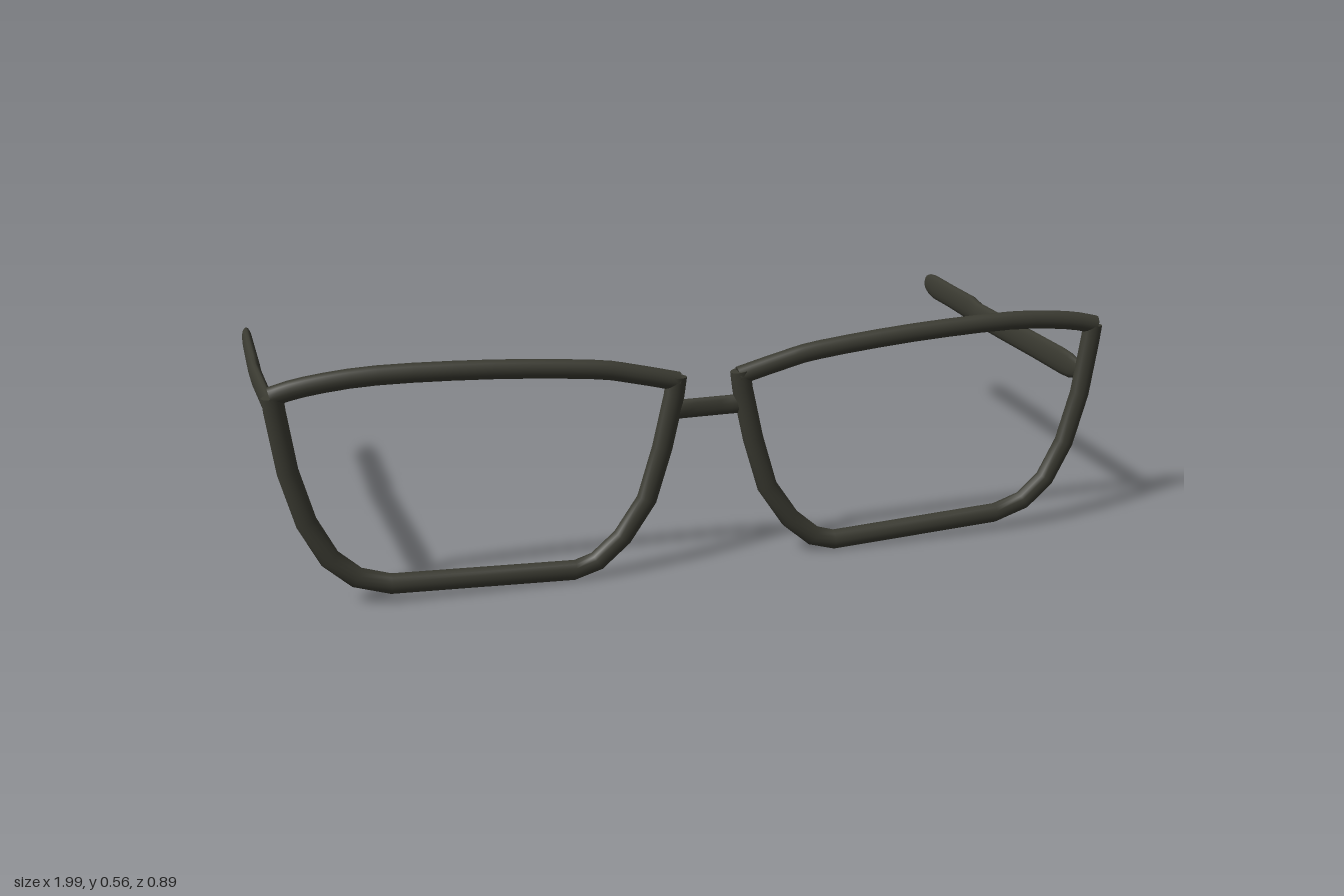
import * as THREE from 'three';

const SIDES = 14;

// Capped tube through oval rings; every ring has a centre c and half axes u, v (u x v points along the tube)
function loft(rings) {
  const pos = [], idx = [];
  const put = (p) => pos.push(p.x, p.y, p.z) / 3 - 1;
  const ringPoints = ({ c, u, v }) => Array.from({ length: SIDES }, (_, j) => {
    const a = (j / SIDES) * Math.PI * 2;
    return c.clone().addScaledVector(u, Math.cos(a)).addScaledVector(v, Math.sin(a));
  });
  rings.forEach((r) => ringPoints(r).forEach(put));
  for (let i = 0; i < rings.length - 1; i++) {
    for (let j = 0; j < SIDES; j++) {
      const a = i * SIDES + j, b = i * SIDES + (j + 1) % SIDES;
      idx.push(a, b, a + SIDES, b, b + SIDES, a + SIDES);
    }
  }
  // Flat end caps with their own vertices
  [rings[0], rings[rings.length - 1]].forEach((r, end) => {
    const centre = put(r.c);
    ringPoints(r).forEach(put);
    for (let j = 0; j < SIDES; j++) {
      const a = centre + 1 + j, b = centre + 1 + (j + 1) % SIDES;
      idx.push(centre, end ? a : b, end ? b : a);
    }
  });
  const g = new THREE.BufferGeometry();
  g.setAttribute('position', new THREE.Float32BufferAttribute(pos, 3));
  g.setIndex(idx);
  g.computeVertexNormals();
  return g;
}

// Bar following a path in the plane of the lenses
function sweepBar(points, halfWidth, halfDepth, z) {
  return loft(points.map(([x, y], i) => {
    const p = points[Math.max(i - 1, 0)], q = points[Math.min(i + 1, points.length - 1)];
    const t = new THREE.Vector3(q[0] - p[0], q[1] - p[1], 0).normalize();
    const u = new THREE.Vector3(0, 0, halfDepth);
    const v = new THREE.Vector3().crossVectors(t, new THREE.Vector3(0, 0, halfWidth));
    return { c: new THREE.Vector3(x, y, z), u, v };
  }));
}

export function createModel() {
  const model = new THREE.Group();
  model.name = 'glasses';
  const frameMat = new THREE.MeshStandardMaterial({ color: 0x3b3b32 });
  frameMat.name = 'dark olive frame';
  const add = (name, geometry, parent = model) => {
    const m = new THREE.Mesh(geometry, frameMat);
    m.name = name;
    parent.add(m);
  };

  // Rims: a U-shaped lower part and a gently arched brow bar on each side
  const lower = [
    [0.973, 0.51], [0.97, 0.476], [0.952, 0.337], [0.92, 0.214], [0.875, 0.123], [0.818, 0.07], [0.743, 0.045],
    [0.32, 0.025], [0.267, 0.041], [0.206, 0.094], [0.147, 0.182], [0.11, 0.305], [0.082, 0.43], [0.076, 0.475],
  ];
  const brow = [[0.978, 0.51], [0.9, 0.527], [0.75, 0.538], [0.5, 0.529], [0.27, 0.508], [0.18, 0.49], [0.072, 0.462]];
  for (const [side, s] of [['left', 1], ['right', -1]]) {
    const rim = new THREE.Group();
    rim.name = side + 'Rim';
    const flip = (pts) => pts.map(([x, y]) => [x * s, y]);
    const curve = new THREE.SplineCurve(flip(brow).map(([x, y]) => new THREE.Vector2(x, y)));
    add(side + 'LowerRim', sweepBar(flip(lower), 0.024, 0.019, 0.43), rim);
    add(side + 'BrowBar', sweepBar(curve.getPoints(18).map((p) => [p.x, p.y]), 0.022, 0.019, 0.43), rim);
    model.add(rim);
  }

  // Bridge, thinner from front to back in the middle
  add('bridge', loft([[-0.09, 0.016], [-0.055, 0.014], [-0.03, 0.01], [0.03, 0.01], [0.055, 0.014], [0.09, 0.016]]
    .map(([x, d]) => ({
      c: new THREE.Vector3(x, 0.393, 0.425),
      u: new THREE.Vector3(0, 0.023, 0),
      v: new THREE.Vector3(0, 0, d),
    }))));

  // Temples: [z, bottom, top, half thickness], slightly wavy with rounded tips
  const profile = [
    [0.425, 0.376, 0.413, 0.008], [0.41, 0.37, 0.419, 0.01], [0.38, 0.361, 0.426, 0.012], [0.34, 0.358, 0.428, 0.013],
    [0.2, 0.358, 0.427, 0.013], [0.05, 0.356, 0.424, 0.013], [-0.1, 0.354, 0.421, 0.014], [-0.15, 0.357, 0.428, 0.015],
    [-0.28, 0.358, 0.426, 0.014], [-0.38, 0.356, 0.426, 0.013], [-0.415, 0.362, 0.421, 0.012],
    [-0.435, 0.371, 0.413, 0.009], [-0.443, 0.38, 0.405, 0.005], [-0.446, 0.39, 0.396, 0.001],
  ];
  const temple = (path) => {
    const xAt = (z) => {
      const i = Math.max(1, path.findIndex((p) => p[0] <= z));
      const [z0, x0] = path[i - 1], [z1, x1] = path[i];
      return THREE.MathUtils.mapLinear(z, z0, z1, x0, x1);
    };
    return loft(profile.map(([z, y0, y1, w]) => ({
      c: new THREE.Vector3(xAt(z), (y0 + y1) / 2, z),
      u: new THREE.Vector3(0, (y1 - y0) / 2, 0),
      v: new THREE.Vector3(w, 0, 0),
    })));
  };
  add('leftTemple', temple([[0.45, 0.951], [0, 0.941], [-0.5, 0.939]]));
  add('rightTemple', temple([[0.45, -0.949], [-0.12, -0.982], [-0.5, -0.985]]));

  return model;
}
